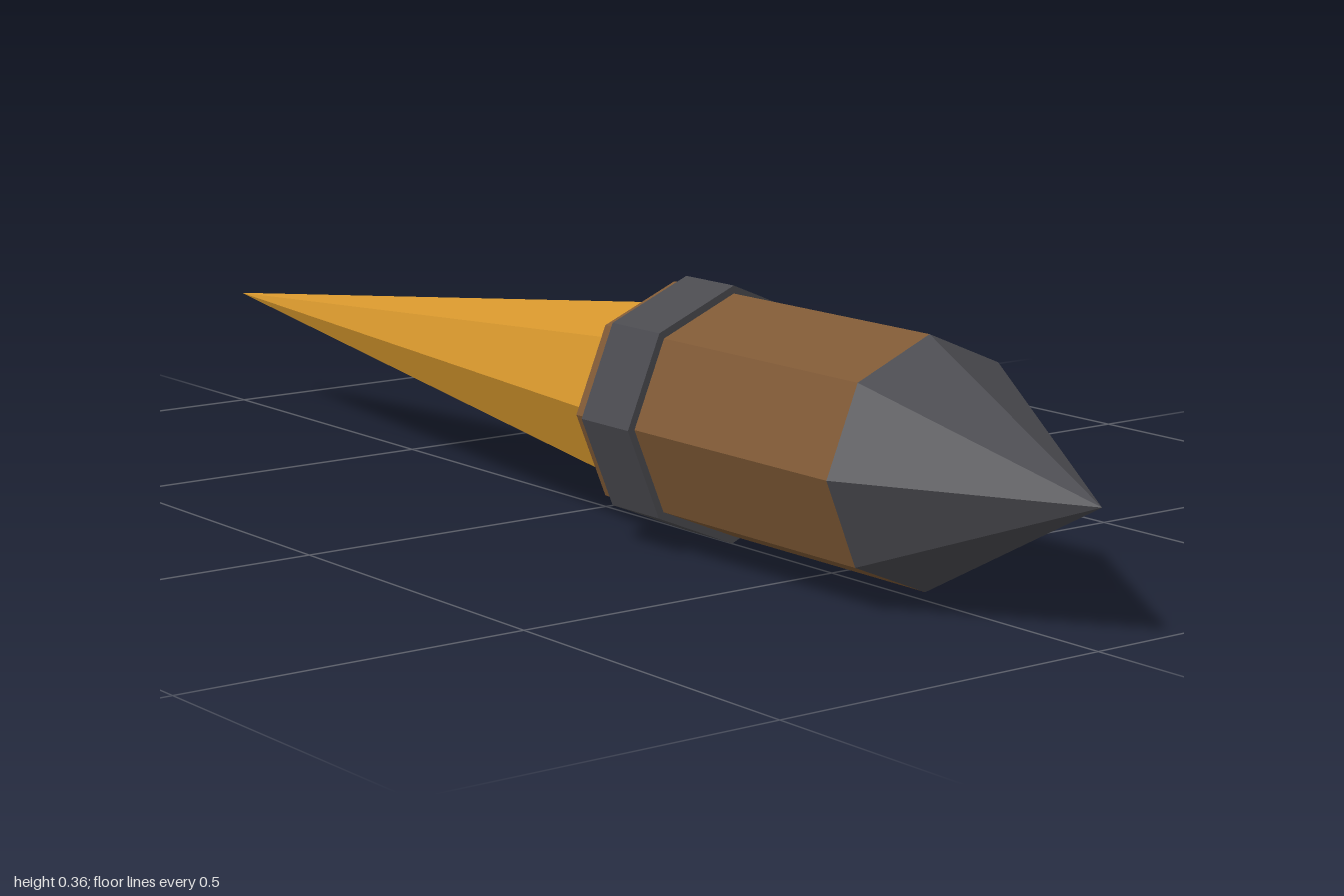
import * as THREE from 'three';

const SIDES = 8;
const AXIS_Y = 0.179;

export function createModel() {
  const group = new THREE.Group();
  group.name = 'spikedShaft';

  const material = (name, color) => {
    const m = new THREE.MeshStandardMaterial({ color, flatShading: true });
    m.name = name;
    return m;
  };
  const iron = material('dark iron', 0x4a4a4f);
  const wood = material('brown wood', 0x7f5935);
  const gold = material('amber', 0xd4952c);

  // Octagonal section along z, from the back end to the front end
  const section = (name, mat, zBack, zFront, rBack, rFront) => {
    const geometry = new THREE.CylinderGeometry(rFront, rBack, zFront - zBack, SIDES);
    geometry.rotateX(Math.PI / 2);
    const mesh = new THREE.Mesh(geometry, mat);
    mesh.name = name;
    mesh.position.set(0, AXIS_Y, (zBack + zFront) / 2);
    group.add(mesh);
  };

  section('frontTip', iron, 0.685, 1, 0.168, 0);
  section('body', wood, 0.158, 0.685, 0.168, 0.168);
  section('band', iron, 0.185, 0.289, 0.179, 0.179);
  section('rearSpike', gold, -1, 0.158, 0, 0.138);

  return group;
}
